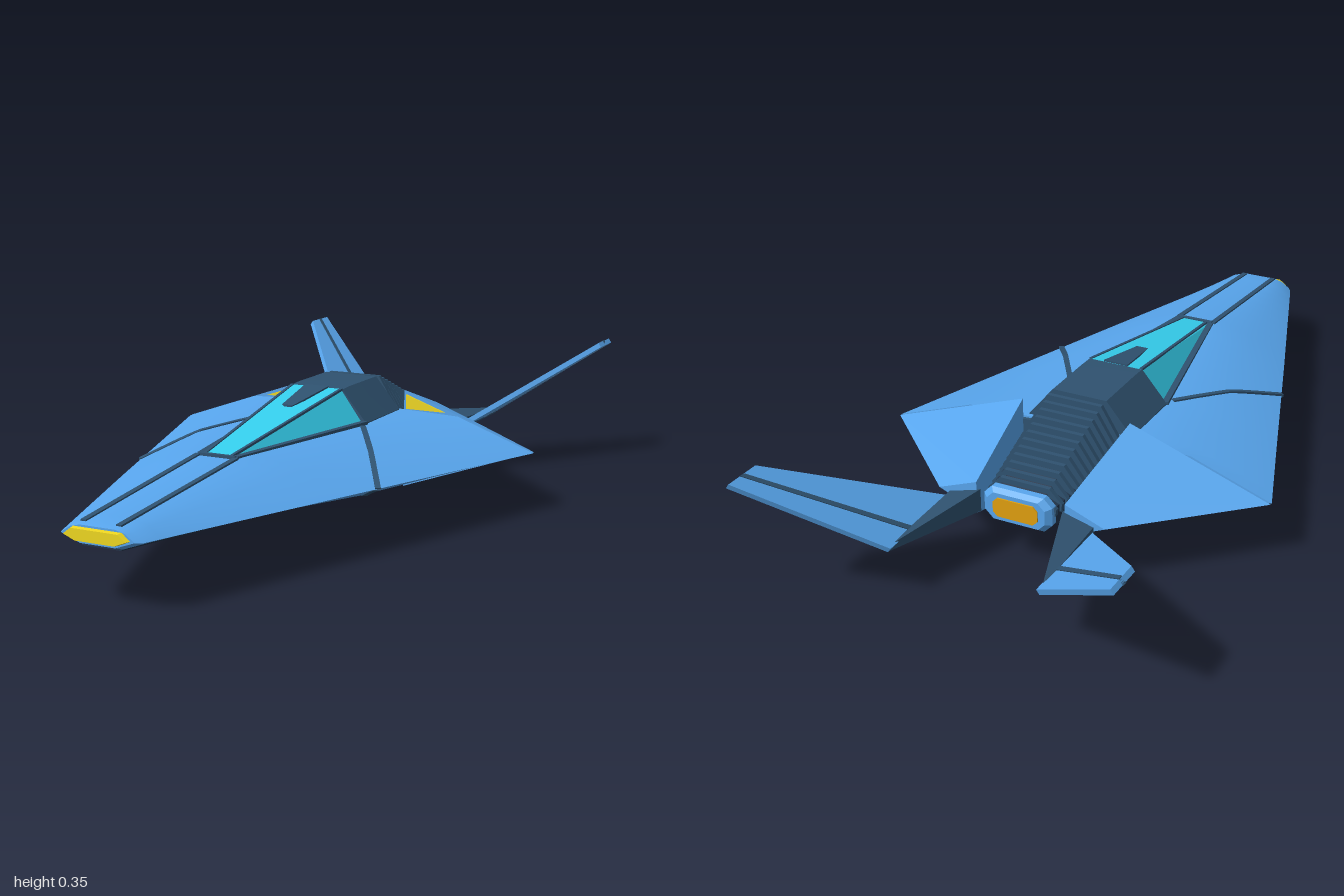
import * as THREE from 'three';
import { toCreasedNormals } from 'three/addons/utils/BufferGeometryUtils.js';
import { ConvexGeometry } from 'three/addons/geometries/ConvexGeometry.js';

const paint = (color) => new THREE.MeshStandardMaterial({ color });
const BLUE = paint(0x58a6ee), DARK = paint(0x2f5270), BLACK = paint(0x22344a);
const CYAN = paint(0x35cfee), YELLOW = paint(0xf0d820), ORANGE = paint(0xe0a010);
const lerp = THREE.MathUtils.lerp;
const V = (x, y, z) => new THREE.Vector3(x, y, z);

// Half outline (bottom to top, x > 0) mirrored into a full ring
const ring = (half) => [...half, ...half.map(([x, y]) => [-x, y]).reverse()];
const mixHalf = (a, b, t) => a.map((p, i) => [lerp(p[0], b[i][0], t), lerp(p[1], b[i][1], t)]);

// Closed skin through rings given from front to back: [z, ring]
function loft(sections, crease = 0.5) {
  const pos = [];
  const tri = (...pts) => pts.forEach((p) => pos.push(...p));
  const at = (s, i) => { const [z, r] = sections[s], p = r[i % r.length]; return [p[0], p[1], z]; };
  const n = sections[0][1].length, last = sections.length - 1;
  for (let s = 0; s < last; s++) for (let i = 0; i < n; i++) {
    tri(at(s, i), at(s + 1, i), at(s, i + 1));
    tri(at(s + 1, i), at(s + 1, i + 1), at(s, i + 1));
  }
  for (let i = 1; i < n - 1; i++) {
    tri(at(0, 0), at(0, i), at(0, i + 1));
    tri(at(last, 0), at(last, i + 1), at(last, i));
  }
  const g = new THREE.BufferGeometry();
  g.setAttribute('position', new THREE.Float32BufferAttribute(pos, 3));
  return toCreasedNormals(g, crease);
}

// Hull stations: z, then outline points keel, edge, mid, inner
const STATIONS = [
  [0.97, [[0.055, 0.14], [0.105, 0.16], [0.08, 0.181], [0.05, 0.19]]],
  [0.48, [[0.058, 0.09], [0.277, 0.158], [0.17, 0.208], [0.055, 0.238]]],
  [0, [[0.15, 0.05], [0.443, 0.155], [0.29, 0.213], [0.13, 0.236]]],
  [-0.235, [[0.15, 0.037], [0.525, 0.153], [0.31, 0.23], [0.14, 0.236]]],
];
const KEEL = [[0.05, 0.136], [0.05, 0.082], [0.08, 0.04], [0.07, 0]];

function hullAt(z) {
  let i = 0;
  while (i < 2 && z < STATIONS[i + 1][0]) i++;
  const [z0, a] = STATIONS[i], [z1, b] = STATIONS[i + 1];
  return mixHalf(a, b, (z - z0) / (z1 - z0));
}

// Height of the hull skin, above or below its edge
function skinY(x, z, below) {
  const [k, e, m, n] = hullAt(z);
  const line = (p, q) => lerp(p[1], q[1], THREE.MathUtils.clamp((x - p[0]) / (q[0] - p[0]), 0, 1));
  if (below) return line(e, k);
  return x > m[0] ? line(e, m) : line(m, n);
}

export function createModel() {
  const model = new THREE.Group();
  const add = (name, geo, mat, parent = model) => {
    const m = new THREE.Mesh(geo, mat);
    m.name = name;
    parent.add(m);
    return m;
  };
  const sides = (name, fn) => [['left', 1], ['right', -1]].forEach(([label, s]) => {
    const g = new THREE.Group();
    g.name = label + name;
    model.add(g);
    fn(s, g);
  });
  const solid = (name, pts, mat, s, parent) =>
    add(name, new ConvexGeometry(pts.map(([x, y, z]) => V(s * x, y, z))), mat, parent);
  const bar = (name, a, b, w, h, mat, parent) => {
    const m = add(name, new THREE.BoxGeometry(w, h, a.distanceTo(b)), mat, parent);
    m.position.copy(a).lerp(b, 0.5);
    m.lookAt(b);
  };
  // Dark panel line following the hull skin
  const seam = (name, s, from, to, below, parent) => {
    const N = 10;
    const pt = (t) => {
      const x = lerp(from[0], to[0], t), z = lerp(from[1], to[1], t);
      return V(s * x, skinY(x, z, below), z);
    };
    for (let i = 0; i < N; i++) bar(name, pt(i / N), pt((i + 1) / N), 0.014, 0.007, DARK, parent);
  };

  // Main hull with tapered nose lip
  const hull = [[0.985, ring([[0.045, 0.145], [0.095, 0.163], [0.07, 0.18], [0.045, 0.186]])]];
  for (let i = 0; i <= 24; i++) {
    const z = lerp(0.97, -0.235, i / 24);
    hull.push([z, ring(hullAt(z))]);
  }
  add('hull', loft(hull), BLUE);
  add('keel', loft(STATIONS.map(([z, h], i) => [z, ring([KEEL[i], [h[0][0], h[0][1] + 0.001]])]), 0.2), BLACK);
  add('noseLight', loft([
    [0.998, ring([[0.05, 0.153], [0.08, 0.165], [0.06, 0.18]])],
    [0.97, ring([[0.055, 0.15], [0.088, 0.165], [0.065, 0.183]])],
  ]), YELLOW);

  // Dark bulkhead in the gap behind the hull
  add('bulkhead', loft([-0.233, -0.245].map((z) =>
    [z, ring([[0.13, 0.04], [0.5, 0.154], [0.3, 0.222], [0.13, 0.232]])])), DARK);

  sides('HullSeams', (s, g) => {
    seam('noseSeam', s, [0.046, 0.97], [0.052, 0.49], false, g);
    seam('wingSeam', s, [0.337, 0.31], [0.15, 0.01], false, g);
    seam('bellySeam', s, [0.337, 0.31], [0.155, 0.01], true, g);
  });

  // Canopy glass, its frame and the roof block behind it
  add('canopyGlass', loft([
    [0.485, ring([[0.045, 0.225], [0.045, 0.236], [0.036, 0.24]])],
    [-0.02, ring([[0.135, 0.225], [0.133, 0.237], [0.072, 0.32]])],
  ], 0.1), CYAN);
  add('cockpitRoof', loft([[-0.018, 0], [-0.06, 0.002], [-0.222, 0.002]].map(([z, d]) =>
    [z, ring([[0.145, 0.19], [0.145, 0.237], [0.075, 0.319 + d]])]), 0.1), DARK);
  solid('roofNotch', [[0.034, 0.324, -0.02], [-0.034, 0.324, -0.02], [0.016, 0.3, 0.14], [-0.016, 0.3, 0.14],
    [0.034, 0.31, -0.02], [-0.034, 0.31, -0.02], [0, 0.285, 0.14]], DARK, 1);
  bar('canopyFrontFrame', V(-0.05, 0.238, 0.488), V(0.05, 0.238, 0.488), 0.012, 0.01, DARK);
  sides('CanopyFrame', (s, g) => {
    bar('upperFrame', V(s * 0.036, 0.24, 0.485), V(s * 0.072, 0.319, -0.02), 0.008, 0.006, DARK, g);
    bar('lowerFrame', V(s * 0.048, 0.237, 0.485), V(s * 0.142, 0.237, -0.02), 0.016, 0.01, DARK, g);
  });

  // Engine spine tapering to the nozzle, with cooling ribs on top
  const front = [[0.07, 0.008], [0.125, 0.045], [0.125, 0.2], [0.065, 0.298]];
  const back = [[0.06, 0.125], [0.09, 0.14], [0.09, 0.18], [0.06, 0.192]];
  add('engineSpine', loft([[-0.243, ring(front)], [-0.535, ring(back)]], 0.1), BLACK);
  const ribs = new THREE.Group();
  ribs.name = 'coolingRibs';
  model.add(ribs);
  for (let i = 0; i < 13; i++) {
    const z = lerp(-0.24, -0.518, i / 12);
    const h = mixHalf([[0.135, 0.19], [0.135, 0.22], [0.075, 0.319]], [[0.095, 0.16], [0.097, 0.178], [0.066, 0.206]], i / 12);
    add('coolingRib', loft([[z, ring(h)], [z - 0.012, ring(h)]], 0.1), DARK, ribs);
  }

  // Nozzle: blue octagonal collar with a glowing core
  const octagon = (w, h, c) => ring([[w - c, 0.163 - h], [w, 0.163 - h + c], [w, 0.163 + h - c], [w - c, 0.163 + h]]);
  add('nozzleCollar', loft([
    [-0.522, octagon(0.092, 0.045, 0.022)], [-0.54, octagon(0.092, 0.045, 0.022)], [-0.553, octagon(0.078, 0.036, 0.018)],
  ], 0.2), BLUE);
  add('nozzleGlow', loft([[-0.55, octagon(0.06, 0.025, 0.012)], [-0.557, octagon(0.06, 0.025, 0.012)]]), ORANGE);

  // Rear wings with intake panels on their front faces
  sides('RearWing', (s, g) => {
    solid('wing', [[0.525, 0.154, -0.243], [0.15, 0.287, -0.243], [0.15, 0.02, -0.243],
      [0.225, 0.16, -0.53], [0.12, 0.2, -0.53], [0.12, 0.115, -0.53]], BLUE, s, g);
    solid('intake', [-0.238, -0.246].flatMap((z) =>
      [[0.158, 0.236, z], [0.158, 0.275, z], [0.27, 0.236, z]]), YELLOW, s, g);
  });

  // Swept tail fins on dark brackets
  sides('TailFin', (s, g) => {
    solid('bracket', [[0.112, 0.12, -0.525], [0.112, 0.18, -0.525], [0.195, 0.125, -0.525], [0.195, 0.158, -0.525],
      [0.2, 0.13, -0.79], [0.2, 0.145, -0.79]], DARK, s, g);
    const plate = (name, outline, half, mat) => solid(name, outline.flatMap(([x, y, z]) =>
      [1, -1].map((d) => [x - d * half * 0.58, y + d * half * 0.82, z])), mat, s, g);
    plate('fin', [[0.195, 0.138, -0.53], [0.195, 0.138, -0.8], [0.478, 0.338, -0.998], [0.478, 0.338, -0.9]], 0.007, BLUE);
    plate('finStripe', [[0.196, 0.139, -0.695], [0.196, 0.139, -0.712], [0.478, 0.338, -0.957], [0.478, 0.338, -0.943]], 0.009, DARK);
  });

  return model;
}
